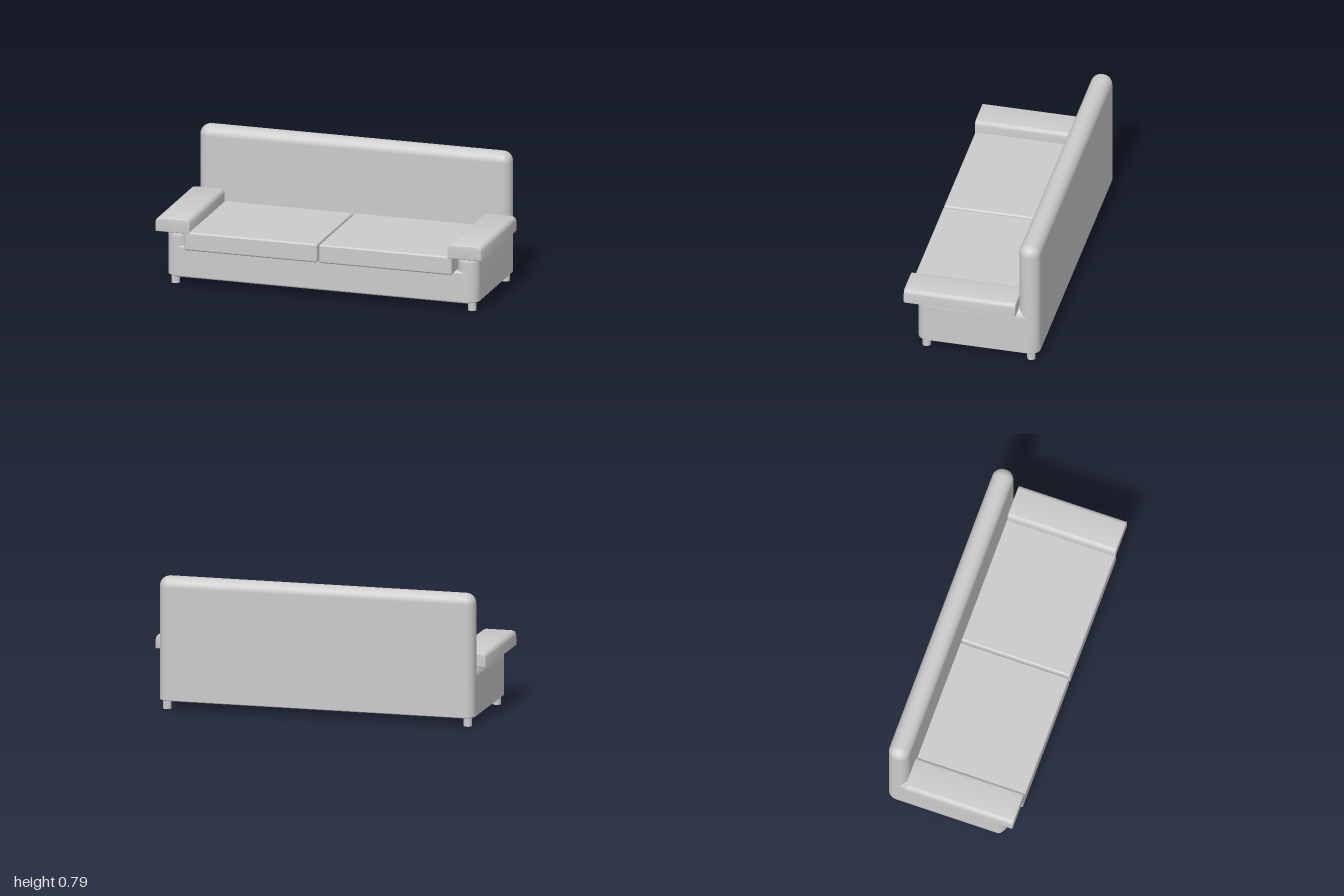
import * as THREE from 'three';
import { RoundedBoxGeometry } from 'three/addons/geometries/RoundedBoxGeometry.js';
import { mergeVertices, toCreasedNormals } from 'three/addons/utils/BufferGeometryUtils.js';

const material = new THREE.MeshStandardMaterial({ color: 0xcccccc });

function addMesh(parent, name, geometry) {
  const mesh = new THREE.Mesh(geometry, material);
  mesh.name = name;
  parent.add(mesh);
  return mesh;
}

// Rounded block given by its bounds; bottomScale flattens the lower rounding.
function softBlock([x0, x1], [y0, y1], [z0, z1], radius, bottomScale = 1) {
  let geo = new RoundedBoxGeometry(x1 - x0, y1 - y0, z1 - z0, 6, radius);
  geo.translate((x0 + x1) / 2, (y0 + y1) / 2, (z0 + z1) / 2);
  if (bottomScale === 1) return geo;
  const pos = geo.attributes.position;
  for (let i = 0; i < pos.count; i++) {
    const h = pos.getY(i) - y0;
    if (h < radius + 1e-4) pos.setY(i, y0 + h * bottomScale);
  }
  geo.deleteAttribute('uv');
  geo.deleteAttribute('normal');
  geo = mergeVertices(geo, 1e-5);
  geo.computeVertexNormals();
  return geo;
}

// Arm pad: rounded upper edges, crisp underside, swept front to back.
function armPadGeometry(width, height, length) {
  const b = 0.006, r = 0.028, w = width / 2 - b, h = height - b;
  const s = new THREE.Shape();
  s.moveTo(-w, b);
  s.lineTo(w, b);
  s.lineTo(w, h - r);
  s.quadraticCurveTo(w, h, w - r, h);
  s.lineTo(-w + r, h);
  s.quadraticCurveTo(-w, h, -w, h - r);
  s.closePath();
  const geo = new THREE.ExtrudeGeometry(s, {
    depth: length - 2 * b, bevelSize: b, bevelThickness: b, bevelSegments: 3, curveSegments: 8,
  });
  geo.translate(0, 0, b);
  return toCreasedNormals(geo, 0.7);
}

export function createModel() {
  const sofa = new THREE.Group();
  sofa.name = 'sofa';

  // Upholstered frame
  const frame = new THREE.Group();
  frame.name = 'frame';
  frame.position.x = -0.003;
  sofa.add(frame);
  addMesh(frame, 'backrest', softBlock([-0.955, 0.955], [0.047, 0.79], [-0.398, -0.271], 0.06, 0.2));
  addMesh(frame, 'seatBase', softBlock([-0.91, 0.91], [0.047, 0.24], [-0.36, 0.333], 0.012));

  for (const side of [-1, 1]) {
    const label = side > 0 ? 'left' : 'right';
    const span = (a, b) => (side > 0 ? [a, b] : [-b, -a]);

    addMesh(frame, label + 'ArmBody', softBlock(span(0.823, 0.955), [0.047, 0.35], [-0.395, 0.333], 0.06, 0.2));
    addMesh(frame, label + 'SeatCushion', softBlock(span(0.005, 0.82), [0.233, 0.346], [-0.28, 0.399], 0.012));

    const pad = addMesh(sofa, label + 'ArmPad', armPadGeometry(0.21, 0.086, 0.67));
    pad.position.set(side * 0.895, 0.335, -0.27);

    // Short round feet
    for (const [end, z] of [['Front', 0.283], ['Back', -0.345]]) {
      const leg = addMesh(frame, label + end + 'Leg', new THREE.CylinderGeometry(0.025, 0.025, 0.06, 24));
      leg.position.set(side * 0.91, 0.03, z);
    }
  }
  return sofa;
}
